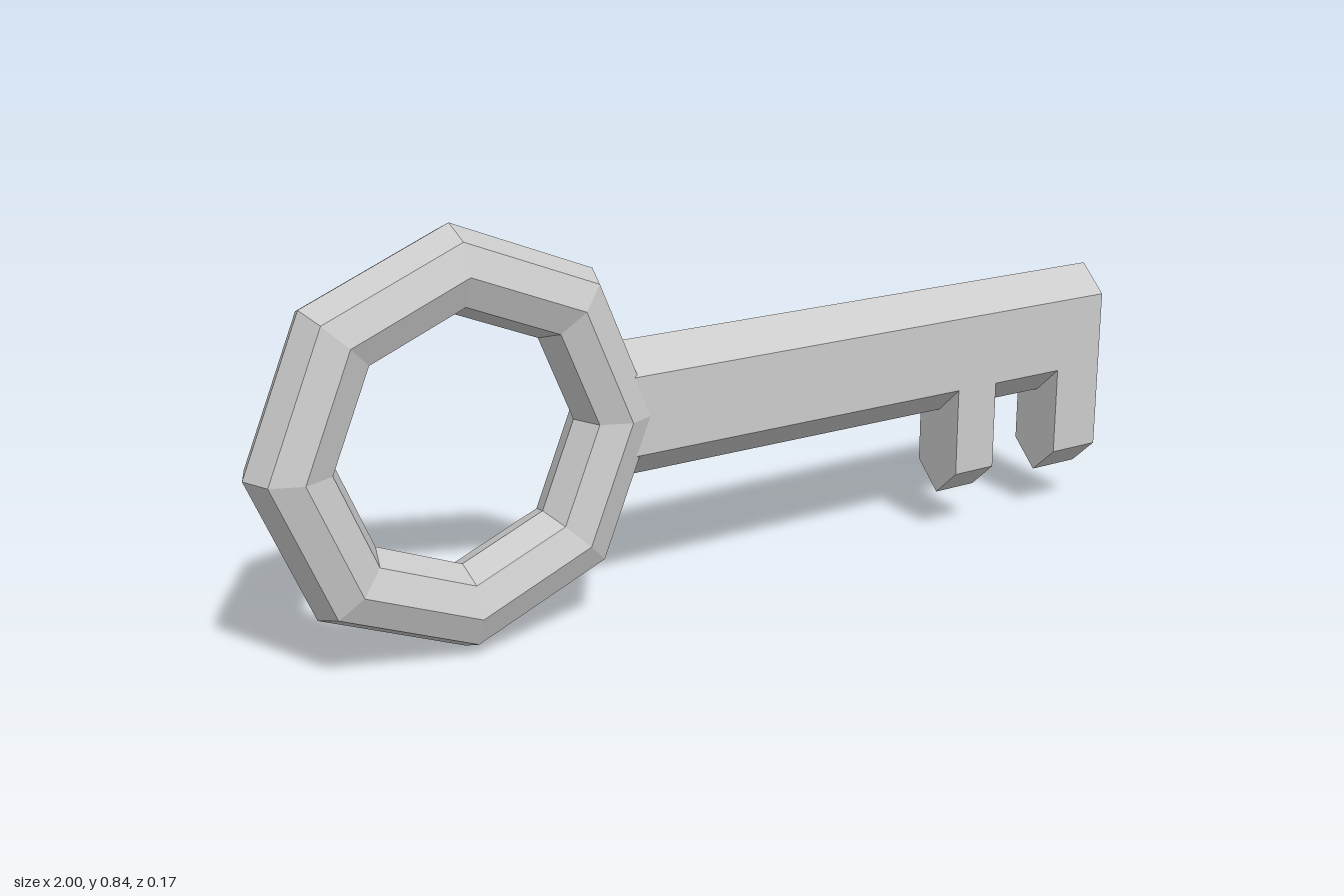
import * as THREE from 'three';

export function createModel() {
  const key = new THREE.Group();
  key.name = 'key';
  const material = new THREE.MeshStandardMaterial({ color: 0xcccccc, flatShading: true });

  function add(name, geometry) {
    const mesh = new THREE.Mesh(geometry, material);
    mesh.name = name;
    key.add(mesh);
    return mesh;
  }

  // Octagonal bow (handle ring) with an eight-sided section
  add('bow', new THREE.TorusGeometry(0.335, 0.086, 8, 8)).position.set(-0.579, 0.421, 0);

  // Blade slice: tall hexagonal section with ridged top and bottom, run along x
  const half = 0.065, top = 0.565, slope = 0.06;
  function slice(name, x0, x1, bottom) {
    const section = new THREE.Shape([
      new THREE.Vector2(0, bottom),
      new THREE.Vector2(half, bottom + slope),
      new THREE.Vector2(half, top - slope),
      new THREE.Vector2(0, top),
      new THREE.Vector2(-half, top - slope),
      new THREE.Vector2(-half, bottom + slope),
    ]);
    const geometry = new THREE.ExtrudeGeometry(section, { depth: x1 - x0, bevelEnabled: false });
    geometry.rotateY(Math.PI / 2);
    geometry.translate(x0, 0, 0);
    add(name, geometry);
  }

  // Shaft and the two teeth, end to end
  const shaftBottom = 0.283, toothBottom = 0.089;
  slice('shaft', -0.28, 0.59, shaftBottom);
  slice('innerTooth', 0.59, 0.695, toothBottom);
  slice('toothGap', 0.695, 0.877, shaftBottom);
  slice('outerTooth', 0.877, 1, toothBottom);

  return key;
}
